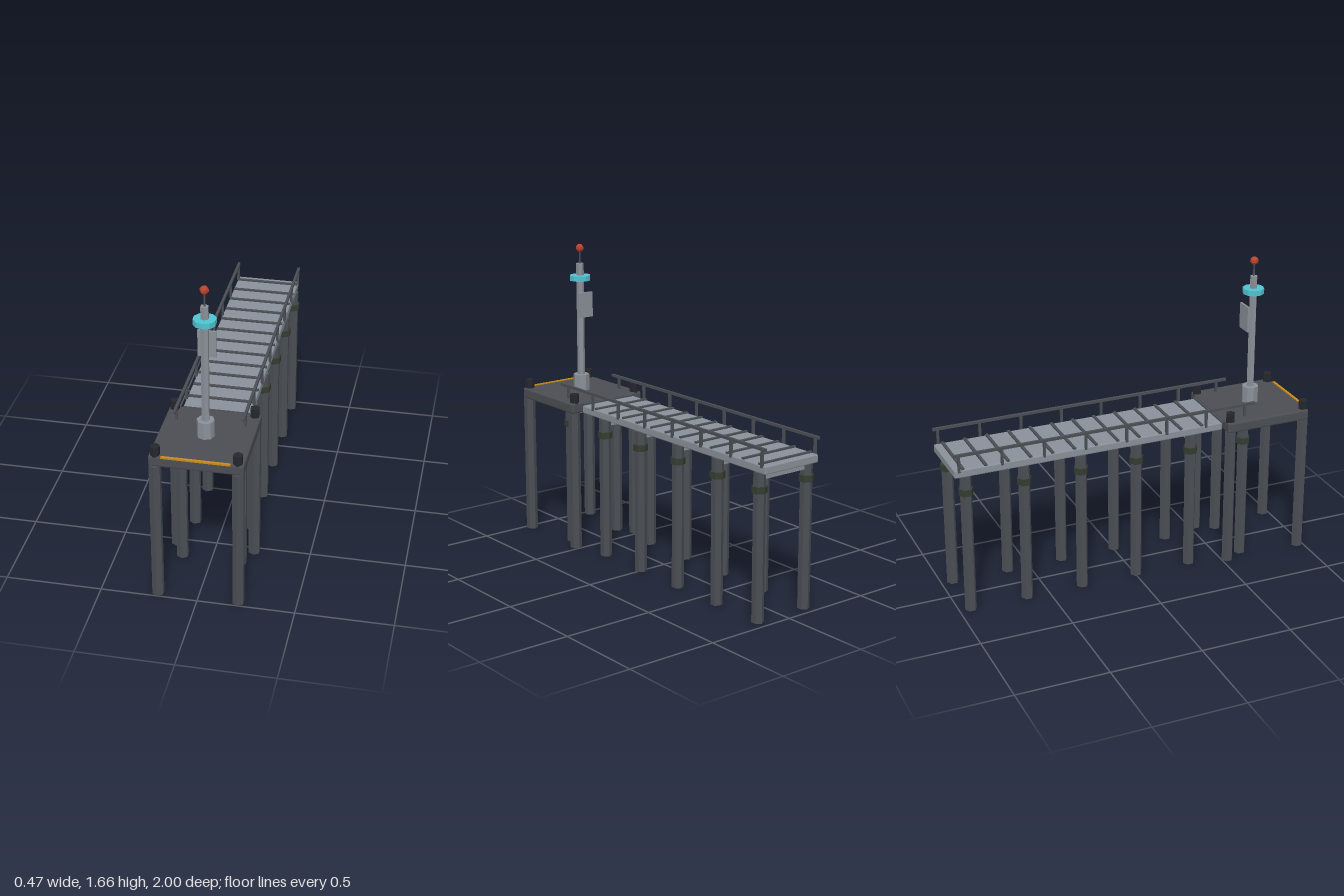
import * as THREE from 'three';
import { RoundedBoxGeometry } from 'three/addons/geometries/RoundedBoxGeometry.js';

const paint = (name, color) => {
  const m = new THREE.MeshStandardMaterial({ color, flatShading: true });
  m.name = name;
  return m;
};

export function createModel() {
  const model = new THREE.Group();
  model.name = 'pier';

  const darkSteel = paint('dark steel', 0x4a4f55);
  const platformGrey = paint('platform grey', 0x4b4e53);
  const deckGrey = paint('deck grey', 0x8a919a);
  const mastGrey = paint('mast grey', 0x8a9198);
  const bollardBlack = paint('bollard black', 0x25272d);
  const collarGreen = paint('collar green', 0x343d30);
  const cyan = paint('cyan', 0x4fc5d2);
  const red = paint('beacon red', 0xb8452f);
  const orange = paint('warning orange', 0xc98a1e);

  const add = (name, geometry, material, x, y, z) => {
    const mesh = new THREE.Mesh(geometry, material);
    mesh.name = name;
    mesh.position.set(x, y, z);
    model.add(mesh);
    return mesh;
  };
  const box = (name, mat, w, h, d, x, y, z) =>
    add(name, new THREE.BoxGeometry(w, h, d), mat, x, y, z);
  // upright prism between two heights
  const post = (name, mat, r, y0, y1, x, z, sides = 6, rTop = r) =>
    add(name, new THREE.CylinderGeometry(rTop, r, y1 - y0, sides), mat, x, (y0 + y1) / 2, z);

  // walkway deck with raised cross strips
  add('deck', new RoundedBoxGeometry(0.35, 0.043, 1.497, 1, 0.006), deckGrey, 0, 0.7985, -0.2495);
  for (let i = 0; i < 13; i++) {
    box('deckStrip', darkSteel, 0.345, 0.012, 0.016, 0, 0.822, -0.951 + i * 0.1209);
  }

  // walkway piles, collars and cross beams
  for (let i = 0; i < 6; i++) {
    const z = 0.634 - i * 0.314;
    for (const s of [-1, 1]) {
      post('walkwayPile', darkSteel, 0.032, 0, 0.779, s * 0.155, z);
      post('pileCollar', collarGreen, 0.04, 0.673, 0.708, s * 0.155, z);
    }
    box('crossBeam', deckGrey, 0.28, 0.022, 0.03, 0, 0.751, z);
  }

  // handrails on both sides
  for (const s of [-1, 1]) {
    box('handrail', darkSteel, 0.014, 0.014, 1.689, s * 0.175, 0.903, -0.1555);
    for (let i = 0; i < 8; i++) {
      box('railPost', darkSteel, 0.013, 0.09, 0.013, s * 0.175, 0.855, 0.63 - i * 0.229);
    }
  }

  // end platform on four piles with corner bollards
  add('platform', new RoundedBoxGeometry(0.474, 0.058, 0.482, 1, 0.009), platformGrey, 0, 0.806, 0.747);
  for (const s of [-1, 1]) {
    for (const z of [0.968, 0.532]) {
      post('platformPile', darkSteel, 0.032, 0, 0.779, s * 0.207, z);
      post('bollard', bollardBlack, 0.025, 0.83, 0.884, s * 0.205, z - 0.002);
    }
  }
  box('warningStripe', orange, 0.344, 0.009, 0.014, 0, 0.8355, 0.988);

  // mast with base, ring, panel and beacon
  const mz = 0.75;
  post('mastBase', mastGrey, 0.045, 0.833, 0.926, 0, mz, 8);
  post('mast', mastGrey, 0.021, 0.92, 1.555, 0, mz);
  post('mastRing', cyan, 0.058, 1.46, 1.489, 0, mz, 10);
  box('mastPanel', mastGrey, 0.092, 0.14, 0.012, 0, 1.328, 0.703);
  post('antenna', darkSteel, 0.005, 1.55, 1.63, 0, mz);
  add('beacon', new THREE.SphereGeometry(0.023, 6, 5), red, 0, 1.64, mz);

  return model;
}
